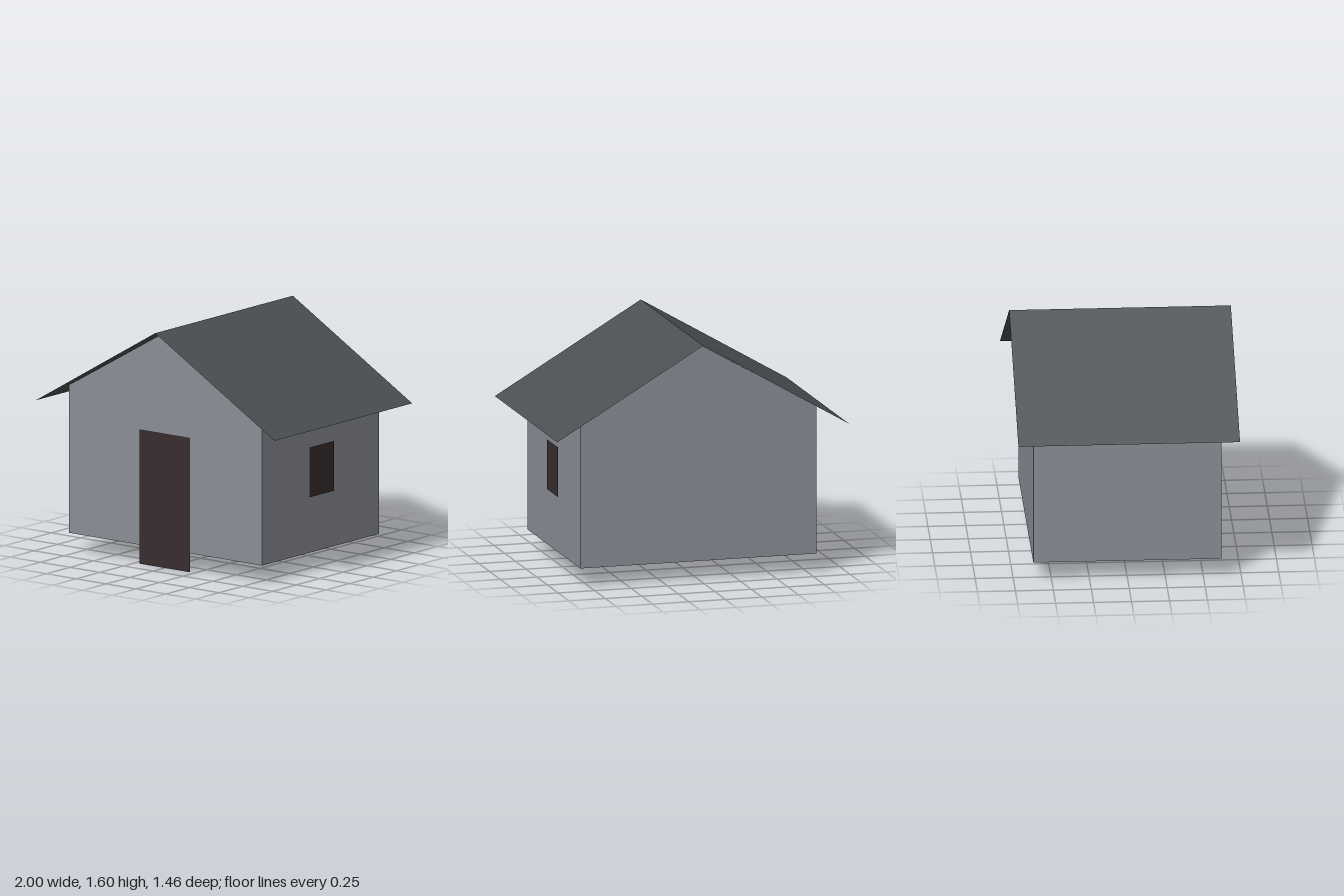
import * as THREE from 'three';

const mat = (name, color) => {
  const m = new THREE.MeshStandardMaterial({ color, side: THREE.DoubleSide });
  m.name = name;
  return m;
};

export function createModel() {
  const house = new THREE.Group();
  house.name = 'house';

  const wallGrey = mat('wall grey', 0x8b8e97);
  const roofSlate = mat('roof slate', 0x4c5053);
  const darkWood = mat('dark wood', 0x382d2f);

  const W = 0.81, D = 0.62, BASE = 0.125, EAVE = 1.12, APEX = 1.587;
  const ROOF_W = 1, ROOF_D = 0.73, ROOF_LOW = 1.01, ROOF_TOP = 1.598;

  const add = (name, geometry, material) => {
    const mesh = new THREE.Mesh(geometry, material);
    mesh.name = name;
    house.add(mesh);
    return mesh;
  };

  // Gable walls, front and back
  const gable = new THREE.Shape([
    [-W, BASE], [W, BASE], [W, EAVE], [0, APEX], [-W, EAVE],
  ].map(([x, y]) => new THREE.Vector2(x, y)));
  add('frontWall', new THREE.ShapeGeometry(gable), wallGrey).position.z = D;
  const back = add('backWall', new THREE.ShapeGeometry(gable), wallGrey);
  back.rotation.y = Math.PI;
  back.position.z = -D;

  // Side walls (the underside stays open) and thin roof slopes
  const pitch = Math.atan2(ROOF_TOP - ROOF_LOW, ROOF_W);
  const slopeLength = Math.hypot(ROOF_W, ROOF_TOP - ROOF_LOW);
  for (const [side, s] of [['left', 1], ['right', -1]]) {
    const wall = add(side + 'Wall', new THREE.PlaneGeometry(2 * D, EAVE - BASE), wallGrey);
    wall.rotation.y = s * Math.PI / 2;
    wall.position.set(s * W, (EAVE + BASE) / 2, 0);

    const slope = new THREE.PlaneGeometry(slopeLength, 2 * ROOF_D)
      .rotateX(-Math.PI / 2)
      .rotateZ(-s * pitch);
    add(side + 'Roof', slope, roofSlate)
      .position.set(s * ROOF_W / 2, (ROOF_TOP + ROOF_LOW) / 2, 0);
  }

  // Door on the front, reaching down to the ground
  add('door', new THREE.PlaneGeometry(0.426, 0.905), darkWood)
    .position.set(0, 0.4525, D + 0.008);

  // Window on the left side wall
  const pane = add('window', new THREE.PlaneGeometry(0.26, 0.335), darkWood);
  pane.rotation.y = Math.PI / 2;
  pane.position.set(W + 0.008, 0.668, 0);

  return house;
}
